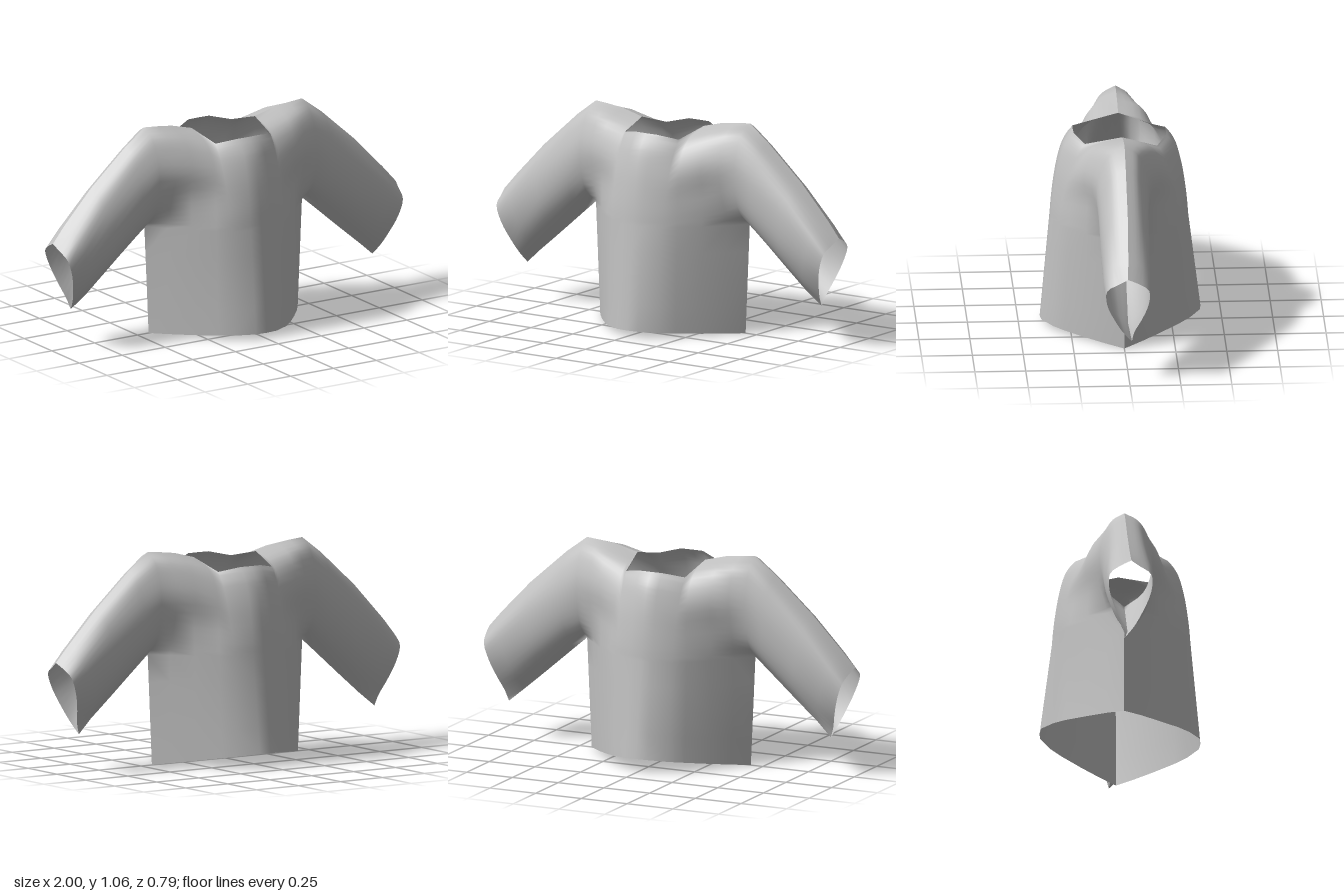
import * as THREE from 'three';

// Cross-sections of one half, centre line to cuff.
// hem: [x, y, z] or null on the sleeve; low / top: ends of the upper section;
// z: depth at the fractions S between low and top.
const S = [0, 0.15, 0.35, 0.6, 0.82, 0.93, 1];
const SECTIONS = [
  { hem: [0, 0.03, 0.395], low: [0, 0.55], top: [0, 0.992], z: [0.345, 0.34, 0.33, 0.312, 0.285, 0.258, 0.232] },
  { hem: [0.06, 0.03, 0.39], low: [0.06, 0.55], top: [0.06, 0.992], z: [0.343, 0.338, 0.328, 0.31, 0.283, 0.256, 0.23] },
  { hem: [0.15, 0.024, 0.335], low: [0.15, 0.55], top: [0.16, 0.97], z: [0.308, 0.302, 0.287, 0.262, 0.227, 0.202, 0.18] },
  { hem: [0.21, 0.02, 0.28], low: [0.21, 0.55], top: [0.185, 1.01], z: [0.265, 0.258, 0.245, 0.23, 0.18, 0.115, 0] },
  { hem: [0.3, 0.012, 0.177], low: [0.3, 0.55], top: [0.3, 1.04], z: [0.183, 0.18, 0.177, 0.193, 0.158, 0.11, 0] },
  { hem: [0.375, 0.006, 0.085], low: [0.385, 0.55], top: [0.38, 1.05], z: [0.088, 0.108, 0.138, 0.158, 0.125, 0.085, 0] },
  { hem: [0.435, 0, 0], low: [0.46, 0.55], top: [0.46, 1.057], z: [0, 0.09, 0.13, 0.138, 0.103, 0.065, 0] },
  { hem: null, low: [0.53, 0.49], top: [0.57, 0.975], z: [0, 0.085, 0.125, 0.128, 0.095, 0.06, 0] },
  { hem: null, low: [0.68, 0.36], top: [0.77, 0.797], z: [0, 0.075, 0.12, 0.126, 0.1, 0.06, 0] },
  { hem: null, low: [0.8, 0.258], top: [0.93, 0.63], z: [0, 0.06, 0.102, 0.123, 0.11, 0.06, 0.005] },
  { hem: null, low: [0.88, 0.19], top: [1, 0.55], z: [-0.015, 0.03, 0.072, 0.11, 0.11, 0.05, 0.01] },
];
const LOWER = 4;   // rows from hem to armpit level
const UPPER = 18;  // rows from armpit level to neck and shoulder
const ROWS = LOWER + UPPER + 1;

// Points of one section from bottom to top; dir is +1 for front, -1 for back.
function sectionPoints({ hem, low, top, z }, side, dir) {
  // the back is shallower than the front, most of all on the sleeves
  const depth = dir > 0 ? 1 : THREE.MathUtils.lerp(0.97, 0.86, THREE.MathUtils.smoothstep(low[0], 0.25, 0.5));
  const curve = new THREE.CatmullRomCurve3(S.map((s, i) => new THREE.Vector3(
    side * THREE.MathUtils.lerp(low[0], top[0], s),
    THREE.MathUtils.lerp(low[1], top[1], s),
    // both panels share the sleeve seams
    !hem && (i === 0 || i === S.length - 1) ? z[i] : dir * depth * z[i])));
  const first = curve.getPoint(0);
  const start = first.clone();
  if (hem) {
    // the back hem rises towards the middle, the back neck sits a little lower
    const rise = dir < 0 ? 0.1 * hem[2] : 0;
    start.set(side * hem[0], hem[1] + rise, dir * hem[2]);
  }
  const points = [];
  for (let i = 0; i < LOWER; i++) points.push(start.clone().lerp(first, i / LOWER));
  for (let i = 0; i <= UPPER; i++) {
    const p = curve.getPoint(i / UPPER);
    if (dir < 0 && Math.abs(p.x) < 0.17) p.y -= 0.015 * (i / UPPER);
    points.push(p);
  }
  return points;
}

// One whole panel: torso and both sleeves, with smooth normals inside it.
function panelGeometry(dir) {
  const columns = [
    ...SECTIONS.slice(1).reverse().map((section) => ({ section, side: -1 })),
    ...SECTIONS.map((section) => ({ section, side: 1 })),
  ];
  const points = columns.flatMap(({ section, side }) => sectionPoints(section, side, dir));
  const index = [];
  for (let c = 0; c < columns.length - 1; c++) {
    const torso = columns[c].section.hem && columns[c + 1].section.hem;
    for (let r = torso ? 0 : LOWER; r < ROWS - 1; r++) {
      const a = c * ROWS + r, b = a + ROWS;
      if (dir > 0) index.push(a, b, b + 1, a, b + 1, a + 1);
      else index.push(a, b + 1, b, a, a + 1, b + 1);
    }
  }
  const geometry = new THREE.BufferGeometry().setFromPoints(points);
  geometry.setIndex(index);
  geometry.computeVertexNormals();
  return geometry;
}

export function createModel() {
  const group = new THREE.Group();
  group.name = 'shirt';
  const cloth = new THREE.MeshStandardMaterial({ color: 0xc0c0c0, side: THREE.DoubleSide });
  cloth.name = 'grey cloth';
  // front and back meet in a sharp seam along sides, sleeves and shoulders
  for (const [name, dir] of [['frontPanel', 1], ['backPanel', -1]]) {
    const mesh = new THREE.Mesh(panelGeometry(dir), cloth);
    mesh.name = name;
    group.add(mesh);
  }
  return group;
}
